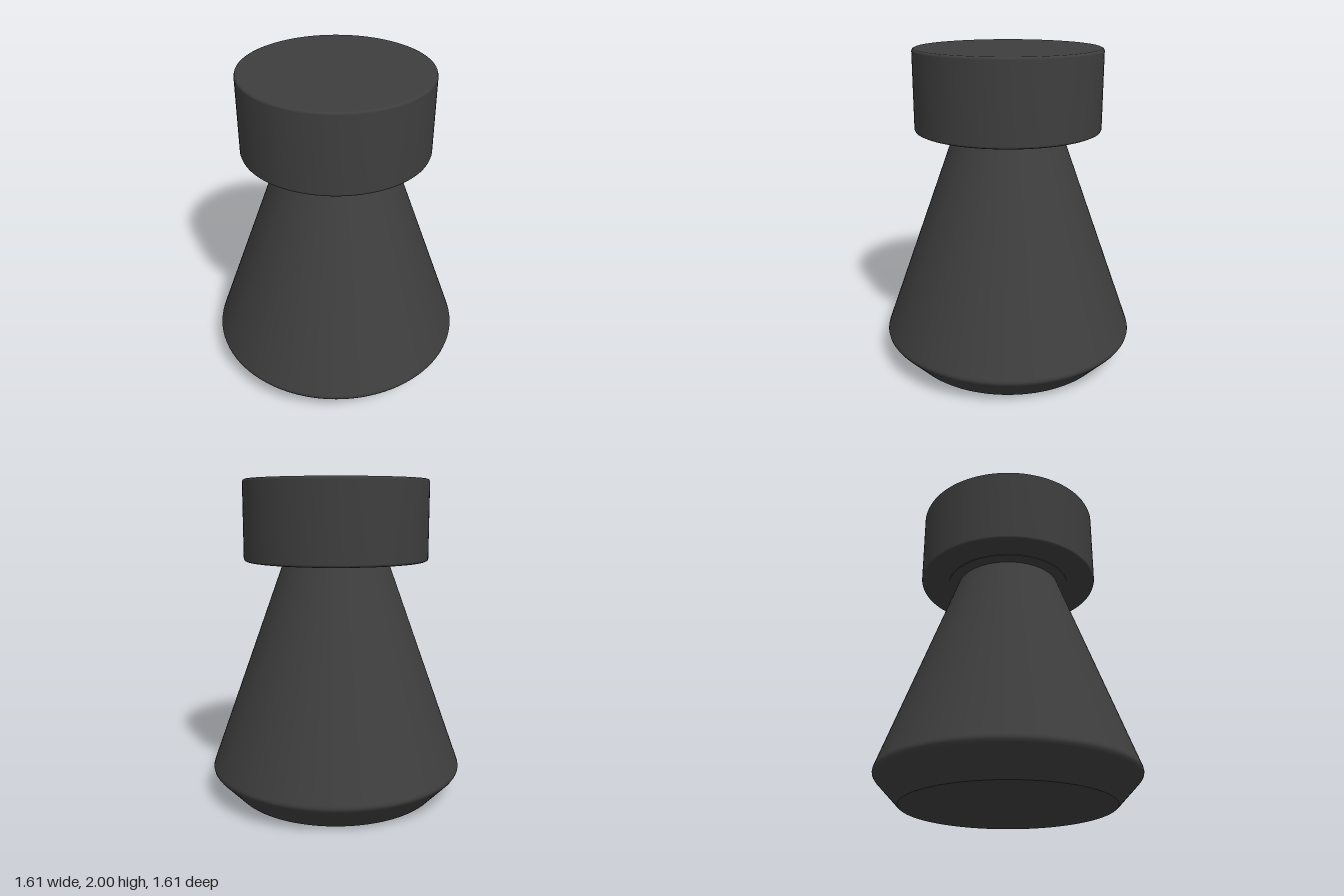
import * as THREE from 'three';

// Closed turned part from [radius, height] points, listed bottom to top;
// a repeated point makes a sharp edge
function turned(name, points, material) {
  const profile = points.map(([r, y]) => new THREE.Vector2(r, y));
  const mesh = new THREE.Mesh(new THREE.LatheGeometry(profile, 96), material);
  mesh.name = name;
  return mesh;
}

export function createModel() {
  const model = new THREE.Group();
  model.name = 'turnedKnob';
  const charcoal = new THREE.MeshStandardMaterial({ color: 0x3e3e3e });
  charcoal.name = 'charcoal';

  // Conical body with an undercut foot, softened shoulder and thin neck flange
  model.add(turned('body', [
    [0, 0], [0.645, 0], [0.645, 0], [0.655, 0.008],
    [0.79, 0.15], [0.8, 0.165], [0.803, 0.178], [0.8, 0.193],
    [0.335, 1.485], [0.335, 1.485], [0.345, 1.493],
    [0.4, 1.495], [0.4, 1.495], [0.4, 1.51],
  ], charcoal));

  // Flat round cap with small rounded rims
  model.add(turned('cap', [
    [0, 1.5], [0.565, 1.5], [0.576, 1.505], [0.58, 1.516],
    [0.58, 1.984], [0.576, 1.995], [0.565, 2], [0, 2],
  ], charcoal));

  return model;
}
